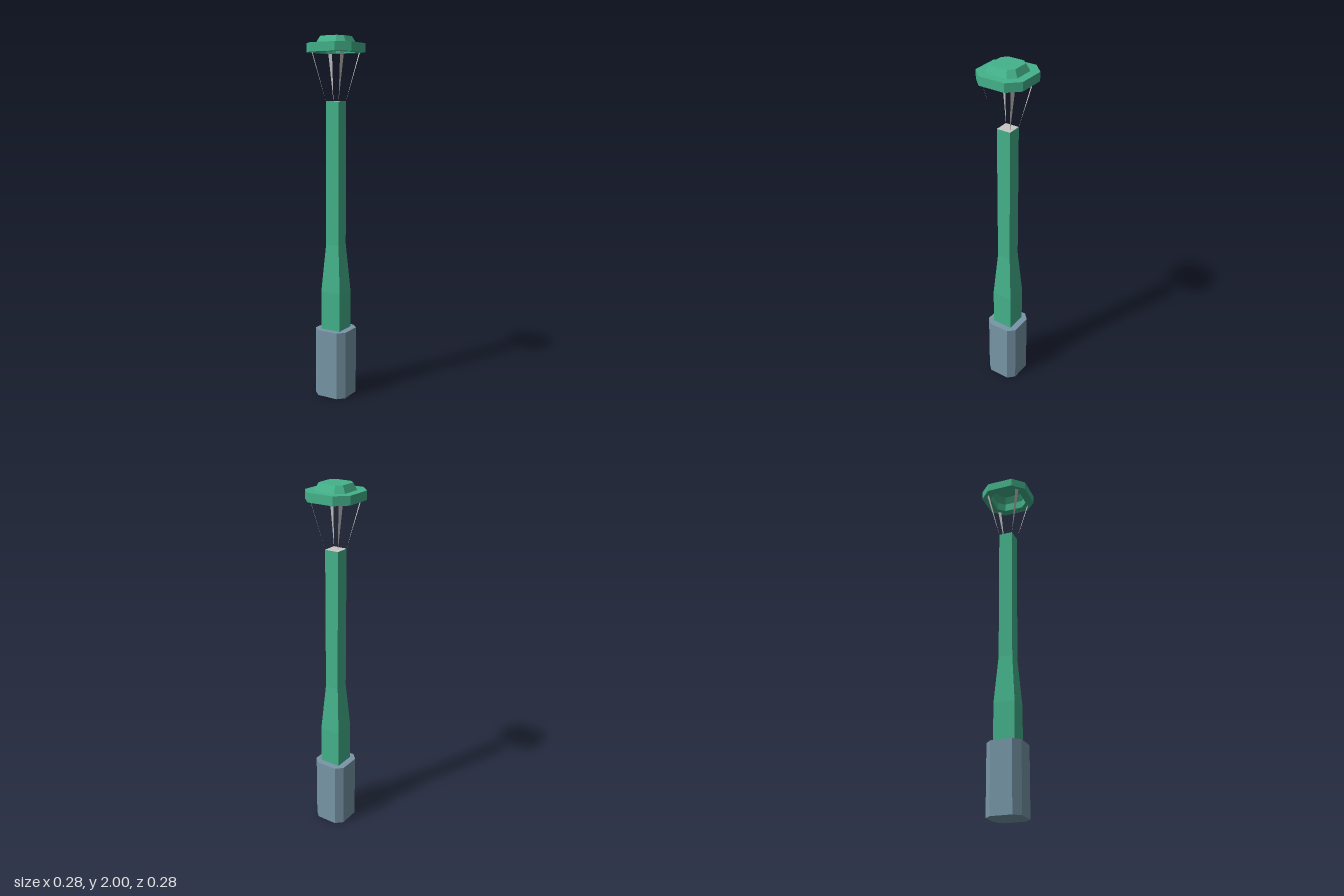
import * as THREE from 'three';

// Square with cut corners: h = half width, c = where the cut begins (c = h gives a square)
function ring(y, h, c) {
  if (c === h) return [[h, y, h], [h, y, -h], [-h, y, -h], [-h, y, h]];
  return [[h, y, c], [h, y, -c], [c, y, -h], [-c, y, -h], [-h, y, -c], [-h, y, c], [-c, y, h], [c, y, h]];
}

// Flat-faced skin through a list of rings, with optional end faces
function loft(sections, { bottom = false, top = false } = {}) {
  const rings = sections.map((s) => ring(...s));
  const n = rings[0].length;
  const pos = [];
  const tri = (a, b, c) => pos.push(...a, ...b, ...c);
  for (let r = 0; r < rings.length - 1; r++) {
    const a = rings[r], b = rings[r + 1];
    for (let i = 0; i < n; i++) {
      const j = (i + 1) % n;
      tri(a[i], a[j], b[j]);
      tri(a[i], b[j], b[i]);
    }
  }
  const first = rings[0], last = rings[rings.length - 1];
  for (let i = 1; i < n - 1; i++) {
    if (bottom) tri(first[0], first[i + 1], first[i]);
    if (top) tri(last[0], last[i], last[i + 1]);
  }
  const g = new THREE.BufferGeometry();
  g.setAttribute('position', new THREE.Float32BufferAttribute(pos, 3));
  g.computeVertexNormals();
  return g;
}

function material(name, color, side = THREE.FrontSide) {
  const m = new THREE.MeshStandardMaterial({ color, side });
  m.name = name;
  return m;
}

export function createModel() {
  const model = new THREE.Group();
  model.name = 'lampPost';
  const green = material('green paint', 0x44b38c, THREE.DoubleSide);
  const slate = material('slate blue', 0x7897a8);
  const grey = material('light grey', 0xcac6c6, THREE.DoubleSide);

  const add = (name, geometry, mat) => {
    const mesh = new THREE.Mesh(geometry, mat);
    mesh.name = name;
    model.add(mesh);
    return mesh;
  };

  // Footing
  add('base', loft([[0, 0.097, 0.06], [0.385, 0.097, 0.06]], { bottom: true, top: true }), slate);

  // Square post that narrows above the footing
  add('post', loft([[0.385, 0.06, 0.06], [0.6, 0.06, 0.06], [0.87, 0.04, 0.04], [1.657, 0.04, 0.04]]), green);

  // Lamp face closing the post
  const lamp = new THREE.PlaneGeometry(0.08, 0.08).rotateX(-Math.PI / 2).translate(0, 1.657, 0);
  add('lampFace', lamp, grey);

  // Hollow shade: inner wall, underside, rim, shoulder and dome
  add('shade', loft([
    [1.963, 0.093, 0.055], [1.915, 0.093, 0.055], [1.915, 0.138, 0.075],
    [1.963, 0.138, 0.075], [1.963, 0.093, 0.055], [2, 0.073, 0.045],
  ], { top: true }), green);

  // Thin tapering stays from the post corners up to the shade
  const stay = new THREE.BufferGeometry();
  stay.setAttribute('position', new THREE.Float32BufferAttribute(
    [0.04, 1.657, 0.04, 0.1, 1.916, 0.085, 0.085, 1.916, 0.1], 3));
  stay.computeVertexNormals();
  for (let i = 0; i < 4; i++) add('stay', stay, grey).rotation.y = i * Math.PI / 2;

  return model;
}
